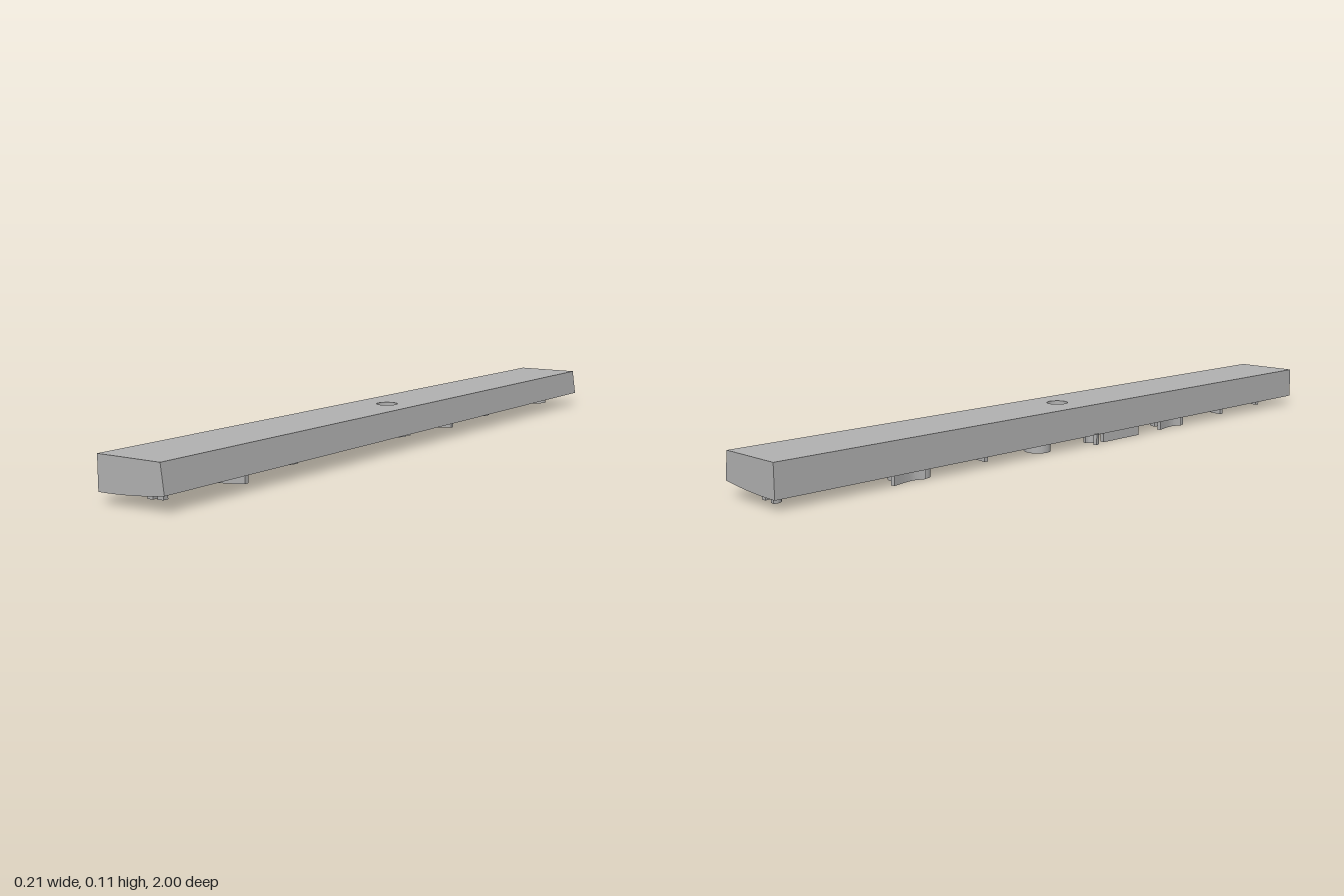
import * as THREE from 'three';

const TOP = 0.115, RELIEF = 0.0265;
// Gently curved underside of the bar
const under = (x) => 0.028 + 0.014 * ((x + 0.1) / 0.2) ** 2;
const XS = Array.from({ length: 13 }, (_, i) => -0.1 + (0.2 * i) / 12);

// Move every vertex by a rule and refresh the flat normals
function reshape(geo, rule) {
  const p = geo.attributes.position;
  for (let i = 0; i < p.count; i++) {
    const [x, y, z] = rule(p.getX(i), p.getY(i), p.getZ(i));
    p.setXYZ(i, x, y, z);
  }
  geo.computeVertexNormals();
  return geo;
}

// Thin upright wall following [x, z] points, its lower face parallel to the underside
function ribGeometry(points, width = 0.012) {
  const curve = new THREE.SplineCurve(points.map(([x, z]) => new THREE.Vector2(x, -z)));
  const n = points.length > 2 ? points.length * 4 : 6;
  const a = [], b = [];
  for (let i = 0; i <= n; i++) {
    const p = curve.getPoint(i / n), t = curve.getTangent(i / n);
    const off = new THREE.Vector2(-t.y, t.x).multiplyScalar(width / 2);
    a.push(p.clone().add(off));
    b.unshift(p.clone().sub(off));
  }
  const geo = new THREE.ExtrudeGeometry(new THREE.Shape([...a, ...b]), { depth: 1, bevelEnabled: false });
  geo.rotateX(-Math.PI / 2);
  return reshape(geo, (x, y, z) => [x, under(x) + (y > 0.5 ? 0.003 : -RELIEF), z]);
}

function arc(cx, cz, r, from, to, n = 8) {
  return Array.from({ length: n + 1 }, (_, i) => {
    const t = from + ((to - from) * i) / n;
    return [cx + r * Math.cos(t), cz + r * Math.sin(t)];
  });
}

export function createModel() {
  const group = new THREE.Group();
  const grey = new THREE.MeshStandardMaterial({ color: 0xb2b2b2 });
  const add = (name, geo) => {
    const mesh = new THREE.Mesh(geo, grey);
    mesh.name = name;
    group.add(mesh);
    return mesh;
  };

  // Two long lengths of the bar, one on each side of the hole
  const profile = new THREE.Shape([
    ...XS.map((x) => new THREE.Vector2(x, under(x))),
    new THREE.Vector2(0.09, TOP),
    new THREE.Vector2(-0.1, TOP),
  ]);
  const half = new THREE.ExtrudeGeometry(profile, { depth: 0.96, bevelEnabled: false });
  add('frontBar', half).position.z = 0.04;
  add('backBar', half).position.z = -1;

  // Middle of the bar with the round through hole
  const plan = new THREE.Shape([
    ...XS.map((x) => new THREE.Vector2(x, -0.04)),
    ...XS.map((x) => new THREE.Vector2(x, 0.04)).reverse(),
  ]);
  plan.holes.push(new THREE.Path().absarc(0, 0, 0.029, 0, Math.PI * 2, true));
  const middle = new THREE.ExtrudeGeometry(plan, { depth: 1, bevelEnabled: false, curveSegments: 32 });
  middle.rotateX(-Math.PI / 2);
  add('middleBar', reshape(middle, (x, y, z) =>
    y > 0.5 ? [x > 0.099 ? 0.09 : x, TOP, z] : [x, under(x), z]));

  // Straight ribs beneath
  add('frontCrossRib', ribGeometry([[-0.06, 0.682], [0.06, 0.682]]));
  add('backCrossRib', ribGeometry([[-0.05, -0.318], [0.022, -0.318]]));
  add('edgeRib', ribGeometry([[-0.089, 0.09], [-0.089, 0.24]]));
  add('frontPeg', ribGeometry([[-0.008, 0.902], [0.01, 0.902]], 0.015));
  add('frontPeg', ribGeometry([[-0.04, 0.902], [-0.022, 0.902]], 0.015));

  // Curved ribs beneath
  add('ringRib', ribGeometry(arc(-0.045, -0.125, 0.031, 0.3, 5.9, 14)));
  add('edgeHook', ribGeometry(arc(-0.084, 0.045, 0.02, 0, Math.PI, 6), 0.01));
  add('backHook', ribGeometry(arc(-0.015, -0.955, 0.019, -0.4, Math.PI + 0.4, 6)));

  // Two matching clusters of curved ribs
  for (const z of [0.41, -0.59]) {
    add('clusterOuterArc', ribGeometry(arc(-0.06, z + 0.039, 0.02, -0.2, Math.PI + 0.2, 6)));
    add('clusterInnerArc', ribGeometry(arc(-0.045, z - 0.015, 0.022, -1.8, 1.8, 6)));
    add('clusterWave', ribGeometry([
      [-0.085, z + 0.035], [-0.075, z + 0.005], [-0.077, z - 0.025], [-0.087, z - 0.068],
    ], 0.01));
  }
  return group;
}
